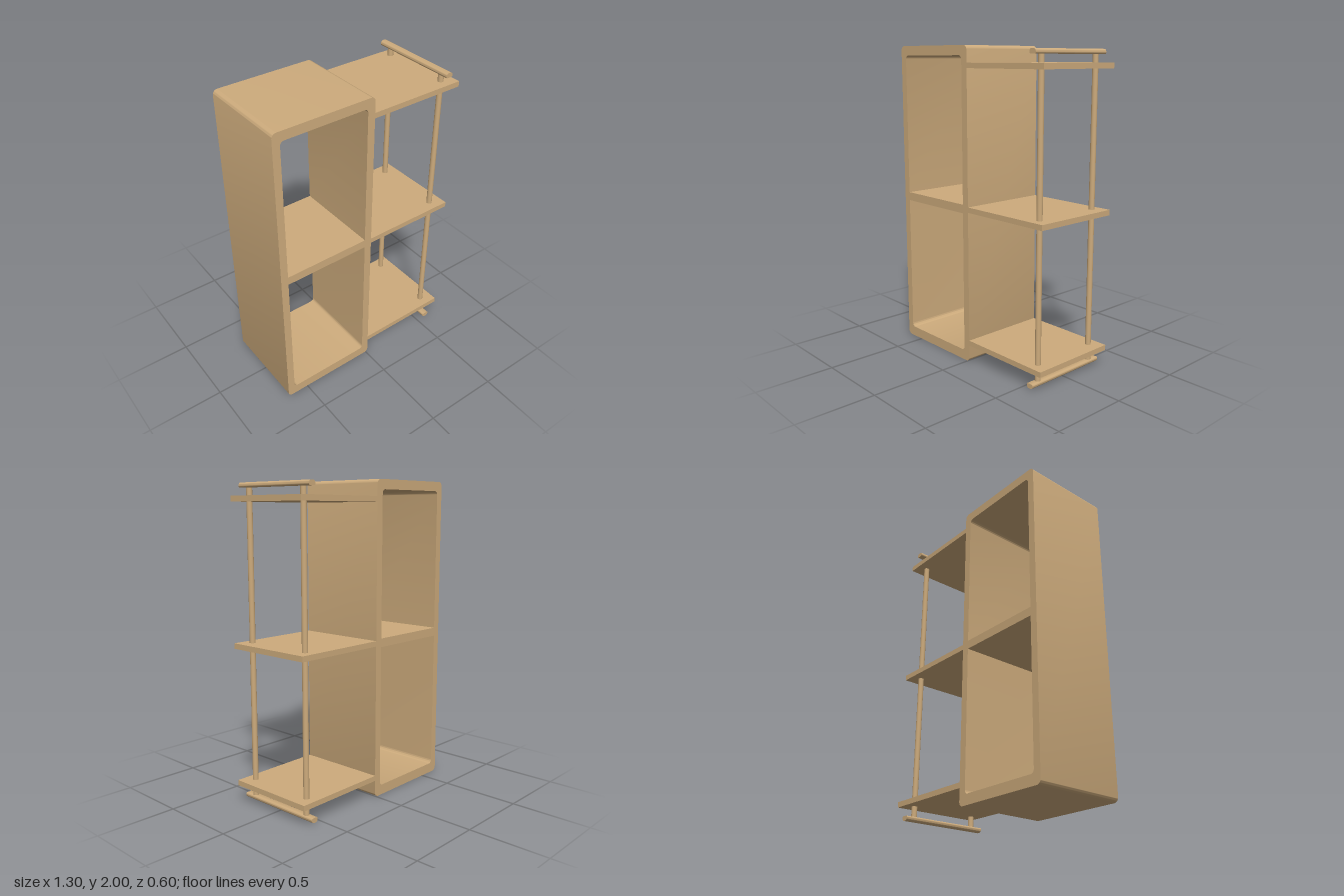
import * as THREE from 'three';
import { toCreasedNormals } from 'three/addons/utils/BufferGeometryUtils.js';

const DEPTH = 0.59;

// Traces a rectangle with its own radius at each corner: bottom left, bottom right, top right, top left.
function roundedRect(path, x0, y0, x1, y1, [bl, br, tr, tl]) {
  path.moveTo(x0 + bl, y0);
  path.lineTo(x1 - br, y0);
  if (br) path.absarc(x1 - br, y0 + br, br, -Math.PI / 2, 0);
  path.lineTo(x1, y1 - tr);
  if (tr) path.absarc(x1 - tr, y1 - tr, tr, 0, Math.PI / 2);
  path.lineTo(x0 + tl, y1);
  if (tl) path.absarc(x0 + tl, y1 - tl, tl, Math.PI / 2, Math.PI);
  path.lineTo(x0, y0 + bl);
  if (bl) path.absarc(x0 + bl, y0 + bl, bl, Math.PI, Math.PI * 1.5);
  return path;
}

function extrude(shape) {
  const geometry = new THREE.ExtrudeGeometry(shape, { depth: DEPTH, bevelEnabled: false, curveSegments: 8 });
  geometry.translate(0, 0, -DEPTH / 2);
  return toCreasedNormals(geometry, 0.6);
}

export function createModel() {
  const model = new THREE.Group();
  model.name = 'shelvingUnit';
  const wood = new THREE.MeshStandardMaterial({ color: 0xcdab7c });
  wood.name = 'light wood';

  const add = (name, geometry, x = 0, y = 0, z = 0) => {
    const mesh = new THREE.Mesh(geometry, wood);
    mesh.name = name;
    mesh.position.set(x, y, z);
    model.add(mesh);
    return mesh;
  };

  // Tall open cabinet with two compartments
  const outline = roundedRect(new THREE.Shape(), -0.65, 0, 0.014, 2, [0.03, 0.03, 0.03, 0.03]);
  outline.holes.push(
    roundedRect(new THREE.Path(), -0.602, 0.065, -0.035, 0.975, [0.025, 0.025, 0, 0]),
    roundedRect(new THREE.Path(), -0.602, 1.03, -0.035, 1.94, [0, 0, 0.025, 0.025])
  );
  add('cabinetFrame', extrude(outline));

  // Three side shelves
  const shelf = new THREE.BoxGeometry(0.642, 0.034, DEPTH);
  for (const [name, y] of [['lowerShelf', 0.127], ['middleShelf', 1.003], ['upperShelf', 1.882]]) {
    add(name, shelf, 0.329, y);
  }

  // Two posts through the shelves
  const post = new THREE.CylinderGeometry(0.018, 0.018, 1.92, 20);
  for (const z of [-0.227, 0.227]) add(z > 0 ? 'frontPost' : 'backPost', post, 0.564, 0.995, z);

  // Domed rails across the post ends
  const railShape = roundedRect(new THREE.Shape(), -0.024, 0, 0.024, 0.03, [0.008, 0.008, 0.018, 0.018]);
  const rail = extrude(railShape);
  add('topRail', rail, 0.564, 1.947);
  add('bottomRail', rail, 0.564, 0.043).rotation.z = Math.PI;

  // The whole unit stands very slightly turned
  model.rotation.y = 0.008;
  return model;
}
